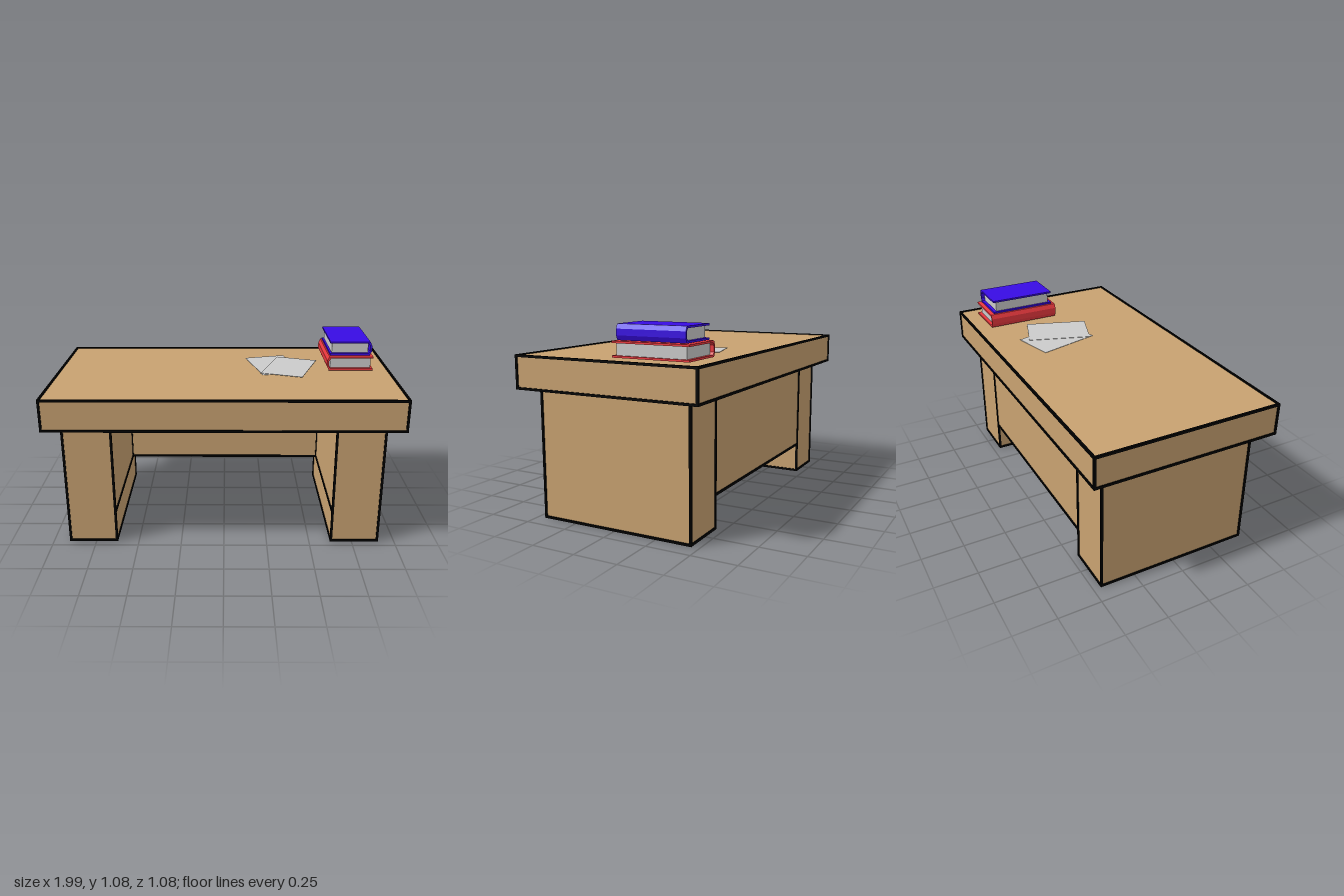
import * as THREE from 'three';

const material = (color, side = THREE.FrontSide) => new THREE.MeshStandardMaterial({ color, side });
const wood = material(0xc8a271);
const ink = material(0x000000);
const paper = material(0xcccccc);
const red = material(0xeb393f);
const blue = material(0x380be4);

const LINE = 0.013;

// Box given by its minimum and maximum corners
function block(name, min, max, mat) {
  const size = max.map((v, i) => v - min[i]);
  const mesh = new THREE.Mesh(new THREE.BoxGeometry(...size), mat);
  mesh.position.set(...max.map((v, i) => (v + min[i]) / 2));
  mesh.name = name;
  return mesh;
}

// Thin black bar running between two points along one axis
function edgeLine(a, b) {
  const h = LINE / 2;
  const min = a.map((v, i) => Math.min(v, b[i]) - h);
  const max = a.map((v, i) => Math.max(v, b[i]) + h);
  return block('edgeLine', min, max, ink);
}

// Wooden box with a bar along each of its twelve edges
function outlinedBlock(name, min, max) {
  const group = new THREE.Group();
  group.name = name;
  group.add(block(name + 'Body', min, max, wood));
  for (let axis = 0; axis < 3; axis++) {
    const u = (axis + 1) % 3, v = (axis + 2) % 3;
    for (const pu of [min[u], max[u]]) {
      for (const pv of [min[v], max[v]]) {
        const a = [], b = [];
        a[axis] = min[axis]; b[axis] = max[axis];
        a[u] = b[u] = pu;
        a[v] = b[v] = pv;
        group.add(edgeLine(a, b));
      }
    }
  }
  return group;
}

// Book lying flat: a C-shaped cover with a bulging spine on -x, and a page block
function book(name, width, height, depth, cover) {
  const group = new THREE.Group();
  group.name = name;
  const t = 0.011, x0 = -width / 2, x1 = width / 2, bulge = 0.012;
  const s = new THREE.Shape();
  s.moveTo(x1, 0);
  s.lineTo(x1, t);
  s.lineTo(x0 + bulge + t, t);
  s.lineTo(x0 + t, height * 0.3);
  s.lineTo(x0 + t, height * 0.7);
  s.lineTo(x0 + bulge + t, height - t);
  s.lineTo(x1, height - t);
  s.lineTo(x1, height);
  s.lineTo(x0 + bulge, height);
  s.lineTo(x0, height * 0.7);
  s.lineTo(x0, height * 0.3);
  s.lineTo(x0 + bulge, 0);
  s.closePath();
  const geometry = new THREE.ExtrudeGeometry(s, { depth, bevelEnabled: false });
  geometry.translate(0, 0, -depth / 2);
  const shell = new THREE.Mesh(geometry, cover);
  shell.name = name + 'Cover';
  const inset = 0.02;
  group.add(shell, block(name + 'Pages',
    [x0 + 0.02, t, -depth / 2 + inset], [x1 - 0.012, height - t, depth / 2 - inset], paper));
  return group;
}

export function createModel() {
  const desk = new THREE.Group();
  desk.name = 'desk';

  // Desktop slab
  desk.add(outlinedBlock('desktop', [-0.99, 0.73, -0.535], [0.99, 0.903, 0.535]));

  // Solid side legs, with a line along each inner face
  for (const side of [-1, 1]) {
    const x = [side * 0.63, side * 0.9].sort((a, b) => a - b);
    const leg = outlinedBlock(side > 0 ? 'leftLeg' : 'rightLeg',
      [x[0], LINE / 2, -0.45], [x[1], 0.73, 0.45]);
    leg.add(edgeLine([side * 0.63, 0.19, -0.45], [side * 0.63, 0.19, 0.45]));
    desk.add(leg);
  }

  // Panel closing the back between the legs
  desk.add(outlinedBlock('backPanel', [-0.63, 0.19, -0.45], [0.63, 0.73, -0.36]));

  // Two books stacked with opposite spines
  const lower = book('lowerBook', 0.275, 0.084, 0.44, red);
  lower.position.set(0.755, 0.911, -0.22);
  const upper = book('upperBook', 0.25, 0.083, 0.395, blue);
  upper.position.set(0.76, 0.998, -0.22);
  upper.rotation.y = Math.PI;
  desk.add(lower, upper);

  // Two overlapping loose sheets: x, z, turn
  [[0.305, -0.135, 0.26], [0.398, -0.085, -0.33]].forEach(([x, z, turn], i) => {
    const sheet = new THREE.Mesh(new THREE.BoxGeometry(0.253, 0.002, 0.375), paper);
    sheet.position.set(x, 0.906 + i * 0.003, z);
    sheet.rotation.y = turn;
    sheet.name = 'paperSheet';
    desk.add(sheet);
  });

  return desk;
}
